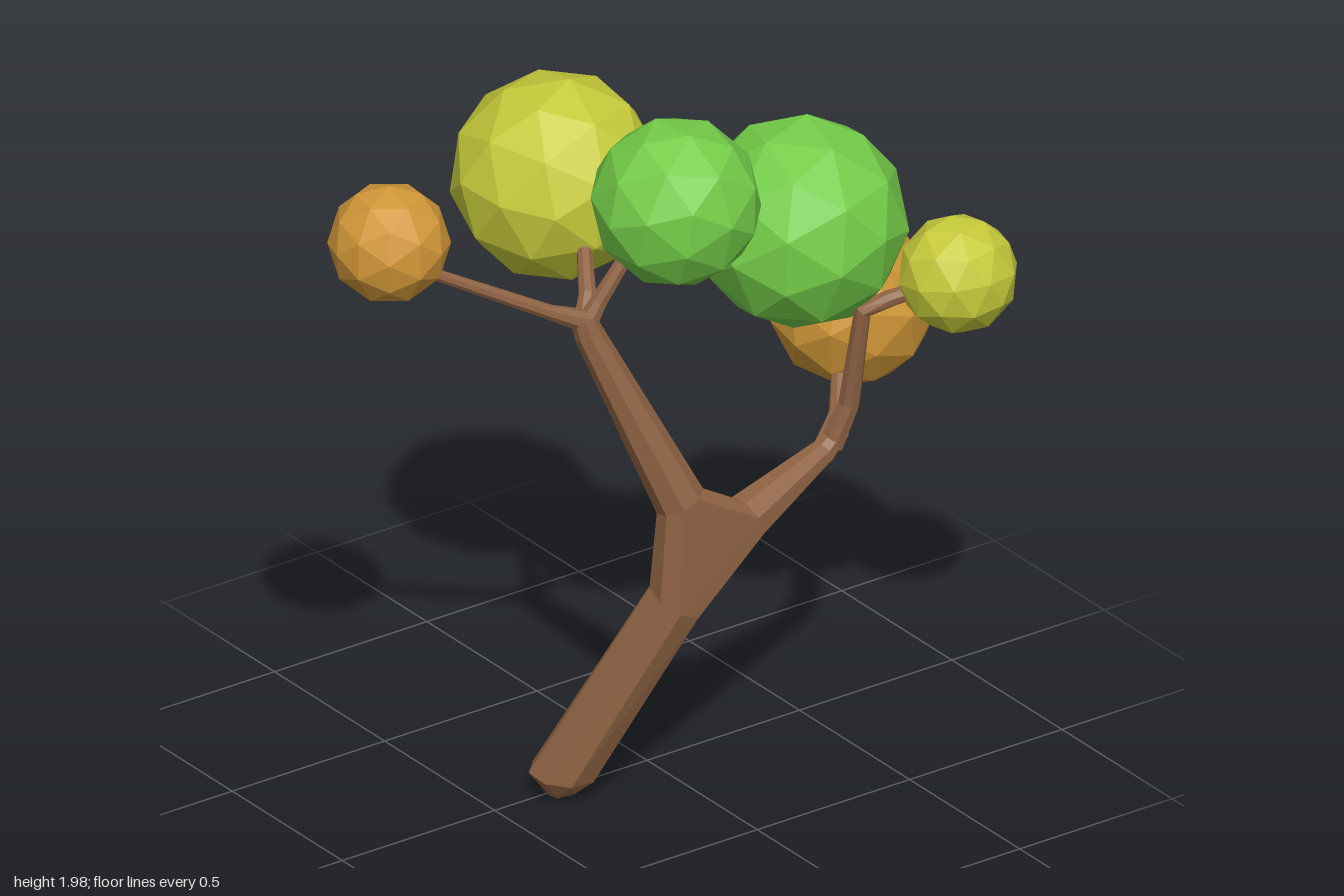
import * as THREE from 'three';
import { ConvexGeometry } from 'three/addons/geometries/ConvexGeometry.js';

const SIDES = 8;

function material(name, color) {
  const m = new THREE.MeshStandardMaterial({ color, flatShading: true });
  m.name = name;
  return m;
}

// Ring of points around a centre, square to the given direction
function ring(center, dir, radius) {
  const u = new THREE.Vector3(1, 0, 0).addScaledVector(dir, -dir.x).normalize();
  const v = new THREE.Vector3().crossVectors(dir, u);
  return Array.from({ length: SIDES }, (_, i) => {
    const a = ((i + 0.5) / SIDES) * Math.PI * 2;
    return center.clone().addScaledVector(u, Math.cos(a) * radius).addScaledVector(v, Math.sin(a) * radius);
  });
}

// Rings along a path of [x, y, z, radius] stations
function limbRings(stations) {
  const p = stations.map(([x, y, z]) => new THREE.Vector3(x, y, z));
  const n = p.length - 1;
  return p.map((c, i) => {
    const dir = new THREE.Vector3();
    if (i > 0) dir.add(c.clone().sub(p[i - 1]).normalize());
    if (i < n) dir.add(p[i + 1].clone().sub(c).normalize());
    return ring(c, dir.normalize(), stations[i][3]);
  });
}

// Tapered, capped limb skinned over its rings
function limbGeometry(rings) {
  const pos = rings.flat().flatMap((v) => v.toArray());
  const index = [];
  const last = (rings.length - 1) * SIDES;
  for (let r = 0; r < rings.length - 1; r++) {
    for (let i = 0; i < SIDES; i++) {
      const a = r * SIDES + i;
      const b = r * SIDES + ((i + 1) % SIDES);
      index.push(a, b, b + SIDES, a, b + SIDES, a + SIDES);
    }
  }
  for (let i = 1; i < SIDES - 1; i++) {
    index.push(0, i + 1, i, last, last + i, last + i + 1);
  }
  const g = new THREE.BufferGeometry();
  g.setAttribute('position', new THREE.Float32BufferAttribute(pos, 3));
  g.setIndex(index);
  const flat = g.toNonIndexed();
  flat.computeVertexNormals();
  return flat;
}

export function createModel() {
  const tree = new THREE.Group();
  tree.name = 'tree';
  const bark = material('bark brown', 0x8f6344);
  const green = material('leaf green', 0x74cc48);
  const yellow = material('leaf yellow', 0xc6ca3a);
  const orange = material('leaf orange', 0xd09638);

  const add = (name, geometry, mat) => {
    const mesh = new THREE.Mesh(geometry, mat);
    mesh.name = name;
    tree.add(mesh);
    return mesh;
  };

  // Trunk and boughs
  const limbs = {
    trunk: [[0.036, 0.04, 0.28, 0.06], [0.025, 0.085, 0.293, 0.095], [0.23, 0.62, 0.07, 0.083]],
    frontBough: [[0.235, 0.91, 0.062, 0.07], [0.096, 1.41, 0.26, 0.041], [0.088, 1.46, 0.275, 0.034]],
    backBough: [[0.245, 0.8, -0.145, 0.07], [0.205, 0.9, -0.43, 0.036], [0.2, 0.945, -0.49, 0.03]],
    // Twigs from the front bough
    frontTwig: [[0.088, 1.45, 0.27, 0.032], [0.06, 1.49, 0.36, 0.021], [-0.06, 1.67, 0.7, 0.016]],
    topTwig: [[0.088, 1.43, 0.27, 0.034], [0.098, 1.5, 0.23, 0.025], [0.122, 1.63, 0.15, 0.02]],
    sideTwig: [[0.088, 1.43, 0.27, 0.034], [0.04, 1.495, 0.225, 0.025], [-0.08, 1.58, 0.15, 0.02]],
    // Twigs from the back bough
    lowTwig: [[0.21, 0.89, -0.42, 0.035], [0.15, 0.96, -0.52, 0.028], [0.06, 1.04, -0.59, 0.025]],
    tallTwig: [[0.2, 0.91, -0.46, 0.036], [0.225, 1.03, -0.5, 0.03],
      [0.28, 1.33, -0.505, 0.026], [0.315, 1.36, -0.57, 0.024], [0.38, 1.4, -0.68, 0.019]],
  };
  const rings = {};
  for (const [name, stations] of Object.entries(limbs)) {
    rings[name] = limbRings(stations);
    add(name, limbGeometry(rings[name]), bark);
  }

  // Webbed fork joining the trunk and both boughs
  add('fork', new ConvexGeometry([...rings.trunk[2], ...rings.frontBough[0], ...rings.backBough[0]]), bark);

  // Leaf clumps: name, material, centre, radius
  const clumps = [
    ['sideLeaves', yellow, [-0.3, 1.67, 0.085], 0.285],
    ['frontLeaves', orange, [-0.11, 1.75, 0.767], 0.165],
    ['topLeaves', green, [0.182, 1.775, 0.037], 0.232],
    ['backLeaves', green, [0.088, 1.535, -0.44], 0.292],
    ['smallBackLeaves', yellow, [0.408, 1.425, -0.725], 0.163],
    ['lowLeaves', orange, [-0.043, 1.165, -0.7], 0.228],
  ];
  clumps.forEach(([name, mat, center, radius], i) => {
    const mesh = add(name, new THREE.IcosahedronGeometry(radius, 1), mat);
    mesh.position.set(...center);
    mesh.rotation.set(0.4 + i * 0.9, i * 1.3, 0.3 + i * 0.5);
  });

  return tree;
}
